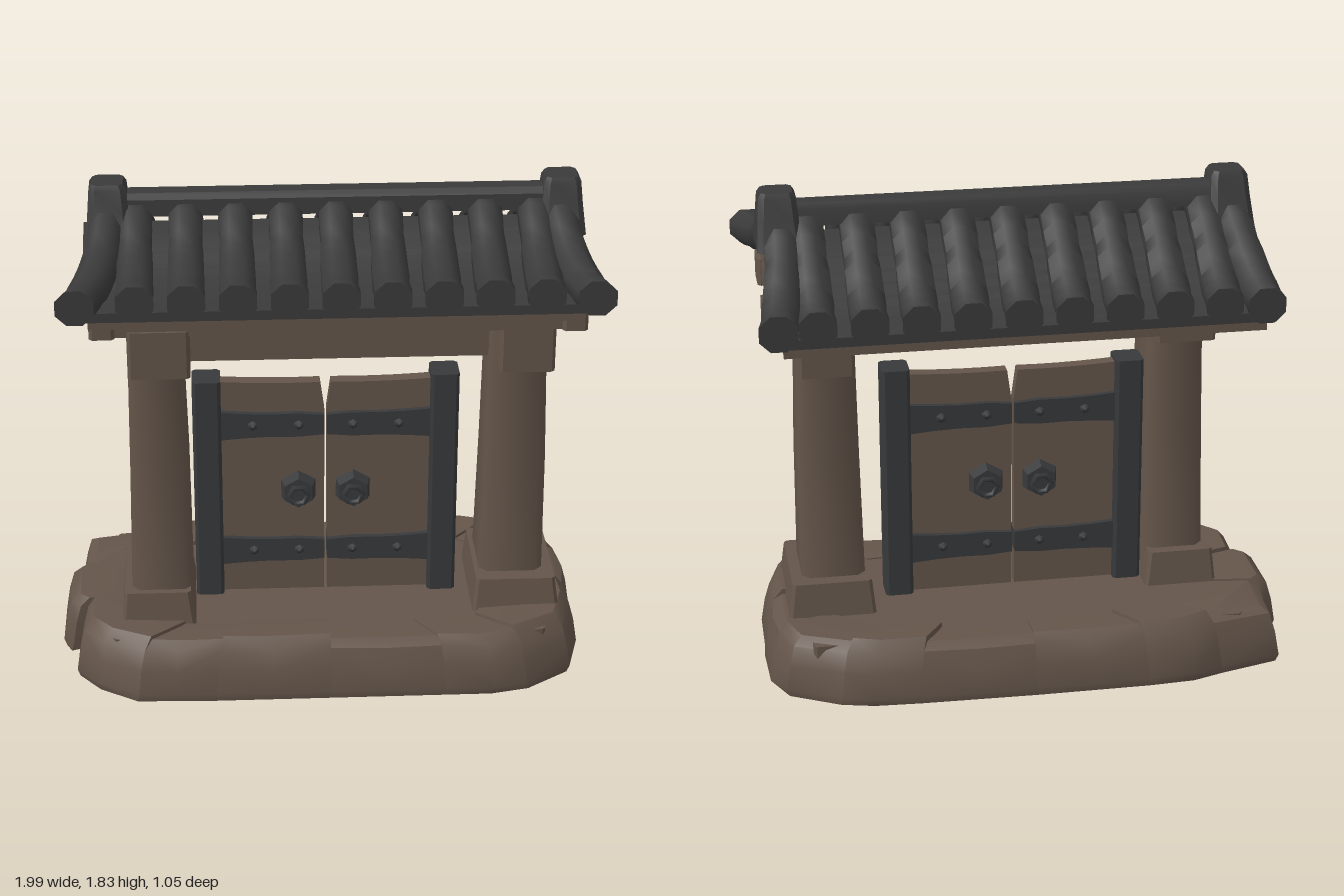
import * as THREE from 'three';
import { toCreasedNormals } from 'three/addons/utils/BufferGeometryUtils.js';
import { ConvexGeometry } from 'three/addons/geometries/ConvexGeometry.js';

const mat = (name, color) => Object.assign(new THREE.MeshStandardMaterial({ color }), { name });
const V = (x, y, z) => new THREE.Vector3(x, y, z);

// Closed solid through a list of equal-length loops, always facing outwards
function loft(loops, crease = 0.7) {
  const n = loops[0].length, tris = [];
  for (let i = 0; i + 1 < loops.length; i++) for (let j = 0; j < n; j++) {
    const k = (j + 1) % n, a = loops[i], b = loops[i + 1];
    tris.push([a[j], a[k], b[k]], [a[j], b[k], b[j]]);
  }
  const first = loops[0], last = loops[loops.length - 1];
  for (let j = 1; j + 1 < n; j++) {
    tris.push([first[0], first[j + 1], first[j]], [last[0], last[j], last[j + 1]]);
  }
  let volume = 0;
  const t = V(0, 0, 0);
  for (const [a, b, c] of tris) volume += a.dot(t.crossVectors(b, c));
  const pts = tris.flatMap(([a, b, c]) => (volume < 0 ? [a, c, b] : [a, b, c]));
  return toCreasedNormals(new THREE.BufferGeometry().setFromPoints(pts), crease);
}

// Level rectangle with chamfered corners
function rect(x0, x1, y, z0, z1, c = 0.012) {
  return [[x0 + c, z0], [x1 - c, z0], [x1, z0 + c], [x1, z1 - c], [x1 - c, z1], [x0 + c, z1], [x0, z1 - c], [x0, z0 + c]]
    .map(([x, z]) => V(x, y, z));
}

export function createModel() {
  const model = new THREE.Group();
  model.name = 'gate';
  const wood = mat('brown', 0x64554a);
  const tile = mat('charcoal tile', 0x3a3a3a);
  const iron = mat('dark iron', 0x37393b);
  const add = (name, geometry, material, parent = model) => {
    const mesh = new THREE.Mesh(geometry, material);
    mesh.name = name;
    parent.add(mesh);
    return mesh;
  };
  // Box given by its limits
  const block = (name, x0, x1, y0, y1, z0, z1, material = wood, parent = model) =>
    add(name, loft([rect(x0, x1, y0, z0, z1), rect(x0, x1, y1, z0, z1)], 0.5), material, parent);

  // Stone base: chunky stones around a flat core
  const stones = [
    [[-0.72, 0.51], [-0.43, 0.52]], [[-0.43, 0.52], [0, 0.52]], [[0, 0.52], [0.43, 0.52]],
    [[0.43, 0.52], [0.6, 0.52], [0.74, 0.49]], [[0.74, 0.49], [0.9, 0.38], [0.95, 0.2], [0.96, 0.05]],
    [[0.96, 0.05], [0.96, -0.25]], [[0.96, -0.25], [0.9, -0.38], [0.72, -0.48]],
    [[0.72, -0.48], [0.6, -0.51], [0.43, -0.52]], [[0.43, -0.52], [0, -0.53]], [[0, -0.53], [-0.43, -0.53]],
    [[-0.43, -0.53], [-0.6, -0.52], [-0.72, -0.48]], [[-0.72, -0.48], [-0.94, -0.42], [-0.97, -0.18]],
    [[-0.98, -0.18], [-1, -0.14], [-1, 0.1], [-0.98, 0.14]], [[-0.95, 0.14], [-0.94, 0.32], [-0.86, 0.42], [-0.72, 0.51]],
  ];
  // height, x scale, z scale
  const rings = [[0, 0.99, 0.98], [0.03, 1, 1], [0.12, 0.985, 0.97], [0.19, 0.965, 0.92], [0.22, 0.93, 0.85], [0.21, 0.74, 0.6], [0.02, 0.74, 0.6]];
  const base = new THREE.Group();
  base.name = 'stoneBase';
  model.add(base);
  stones.forEach((line, i) => {
    const [a, b] = [line[0], line[line.length - 1]];
    const pts = [];
    for (const [y, sx, sz] of rings) {
      const lift = y > 0.2 ? [0, 0.012, -0.008][i % 3] : 0;
      line.forEach(([x, z]) => {
        const end = (x === a[0] && z === a[1]) || (x === b[0] && z === b[1]);
        const s = end && y > 0 && sx > 0.8 ? 0.982 : 1;
        pts.push(V(x * sx * s, y + lift, z * sz * s));
      });
      // rounded middle so that the seams read as grooves
      if (line.length === 2) pts.push(V((a[0] + b[0]) / 2 * sx, y + lift, (a[1] + b[1]) / 2 * sz));
    }
    add('baseStone', toCreasedNormals(new ConvexGeometry(pts), 0.6), wood, base);
  });
  block('baseCore', -0.8, 0.8, 0.02, 0.205, -0.4, 0.4, wood, base);

  // Posts with footings and cross beams
  const posts = [
    { x0: -0.73, x1: -0.5, z0: -0.06, z1: 0.265, f: [-0.77, -0.49, -0.12, 0.31], c: [-0.71, -0.49, 1.23, 1.41, -0.22, 0.33] },
    { x0: 0.57, x1: 0.81, z0: -0.1, z1: 0.19, f: [0.54, 0.87, -0.17, 0.27], c: [0.61, 0.81, 1.2, 1.38, -0.28, 0.27] },
  ];
  for (const { x0, x1, z0, z1, f, c } of posts) {
    add('post', loft([rect(x0, x1, 0.2, z0, z1, 0.03), rect(x0 + 0.012, x1 - 0.005, 0.8, z0 + 0.015, z1 - 0.005, 0.03),
      rect(x0 + 0.02, x1 - 0.02, 1.4, z0 + 0.03, z1 - 0.01, 0.03)], 0.9), wood);
    add('postFooting', loft([rect(f[0], f[1], 0.18, f[2], f[3]), rect(f[0] + 0.015, f[1] - 0.02, 0.335, f[2] + 0.02, f[3] - 0.02)], 0.5), wood);
    block('crossBeam', ...c);
    block('postCap', x0 + 0.01, x1 - 0.01, 1.36, 1.58, -0.14, 0.07);
  }

  // Long beams under the roof
  block('tieBeam', -0.6, 0.68, 1.2, 1.33, 0, 0.12);
  block('frontPurlin', -0.82, 0.87, 1.39, 1.48, 0.21, 0.32);
  block('backPurlin', -0.82, 0.87, 1.37, 1.45, -0.34, -0.25);
  block('ridgePurlin', -0.86, 0.9, 1.4, 1.6, -0.13, 0.05);
  for (const x of [-0.79, 0.87]) {
    block('purlinEnd', x - 0.045, x + 0.045, 1.32, 1.42, -0.12, 0.02);
    block('gableBracket', x - 0.03, x + 0.03, 1.44, 1.55, -0.2, 0.14);
    block('eaveBracket', x - 0.05, x + 0.04, 1.39, 1.49, 0.2, 0.34);
  }

  // Roof line from front eave to back eave
  const curve = new THREE.CatmullRomCurve3([[0.41, 1.55], [0.3, 1.56], [0.16, 1.605], [-0.055, 1.71], [-0.24, 1.6], [-0.37, 1.505], [-0.48, 1.45]]
    .map(([z, y]) => V(0, y, z)), false, 'catmullrom', 0.4);
  const line = curve.getPoints(18);
  const along = (z) => (z > -0.055 ? (z + 0.055) / 0.465 : (-0.055 - z) / 0.425); // 0 ridge, 1 eave

  // Curved boards following the roof line
  const roofSheet = (name, x0, x1, up, down, shrink, material) =>
    add(name, loft(line.map((p) => {
      const z = -0.055 + (p.z + 0.055) * shrink;
      return [V(x0, p.y + up, z), V(x1, p.y + up, z), V(x1, p.y + down, z), V(x0, p.y + down, z)];
    }), 0.6), material);
  roofSheet('tileBed', -0.86, 0.89, -0.035, -0.07, 0.96, tile);
  roofSheet('roofBoards', -0.84, 0.87, -0.068, -0.115, 0.87, wood);

  // Round tile rolls, fatter towards the eaves
  const roll = (name, cx, r, stretch) => add(name, loft(line.map((p, i) => {
    const t = along(p.z), rad = r * (0.92 + 0.1 * t) * (i % 5 === 2 ? 0.94 : 1);
    return Array.from({ length: 8 }, (_, k) => {
      const a = (k + 0.5) / 8 * Math.PI * 2;
      return V(cx(t, p.z) + Math.cos(a) * rad * 1.04, p.y + Math.sin(a) * rad, -0.055 + (p.z + 0.055) * stretch);
    });
  }), 0.9), tile);
  for (let i = 0; i < 9; i++) roll('tileRoll', () => -0.675 + i * 0.1785, 0.067, 0.97);
  // Verge rolls flare outwards at the eaves
  roll('leftVerge', (t, z) => 0.84 + (z > 0 ? 0.085 : 0.05) * t * t, 0.068, 1.03);
  roll('rightVerge', (t, z) => -0.775 - (z > 0 ? 0.105 : 0.045) * t * t, 0.068, 1.03);

  // Ridge bar and its end blocks
  add('ridgeBar', loft([-0.78, 0.85].map((x) => [[-0.12, 1.71], [-0.11, 1.77], [-0.095, 1.79], [-0.035, 1.79], [-0.015, 1.77], [-0.01, 1.71]]
    .map(([z, y]) => V(x, y, z))), 0.5), tile);
  for (const x of [-0.77, 0.85]) {
    add('ridgeEnd', loft([rect(x - 0.08, x + 0.08, 1.64, -0.2, 0.08, 0.02), rect(x - 0.072, x + 0.072, 1.74, -0.15, 0.025, 0.02),
      rect(x - 0.066, x + 0.066, 1.815, -0.125, 0.005, 0.02), rect(x - 0.055, x + 0.055, 1.832, -0.115, -0.005, 0.015)], 0.6), tile);
  }

  // Double door
  const door = new THREE.Group();
  door.name = 'door';
  door.position.z = 0.03;
  model.add(door);
  for (const s of [-1, 1]) {
    const shape = new THREE.Shape();
    shape.moveTo(s * 0.006, 0.2);
    shape.lineTo(s * 0.42, 0.2);
    shape.lineTo(s * 0.42, 1.085);
    shape.quadraticCurveTo(s * 0.22, 1.07, s * 0.02, 1.075);
    shape.lineTo(s * 0.004, 0.96);
    const leaf = new THREE.ExtrudeGeometry(shape, { depth: 0.05, bevelEnabled: false, curveSegments: 5 });
    add('doorLeaf', leaf.translate(0, 0, -0.025), wood, door);

    // Iron stile, rails and studs
    const top = s < 0 ? 1.095 : 1.11;
    const xs = s < 0 ? [-0.49, -0.385] : [0.385, 0.49];
    block('doorStile', ...xs, 0.2, top, -0.06, 0.06, iron, door);
    for (const y of [0.385, 0.91]) {
      add('doorRail', loft([0.005, 0.1, 0.2, 0.3, 0.4].map((x, i) => {
        const h = [0.04, 0.048, 0.046, 0.05, 0.058][i];
        return [[-h, -0.045], [h, -0.045], [h, 0.045], [-h, 0.045]].map(([dy, z]) => V(s * x, y + dy, z));
      }), 0.5), iron, door);
      for (const x of [0.1, 0.27]) for (const f of [-1, 1]) {
        const stud = add('stud', new THREE.ConeGeometry(0.022, 0.02, 6), iron, door);
        stud.rotation.x = f * Math.PI / 2;
        stud.position.set(s * x, y, f * 0.053);
      }
    }

    // Hexagonal handle plate with a ring on each face
    for (const f of [-1, 1]) {
      const plate = add('handlePlate', new THREE.CylinderGeometry(0.06, 0.075, 0.05, 6).toNonIndexed(), iron, door);
      plate.geometry.computeVertexNormals();
      plate.rotation.x = f * Math.PI / 2;
      plate.position.set(s * 0.102, 0.638, f * 0.045);
      const ring = add('handleRing', new THREE.TorusGeometry(0.036, 0.011, 5, 6), iron, door);
      ring.position.set(s * 0.102, 0.632, f * 0.075);
    }
  }
  return model;
}
